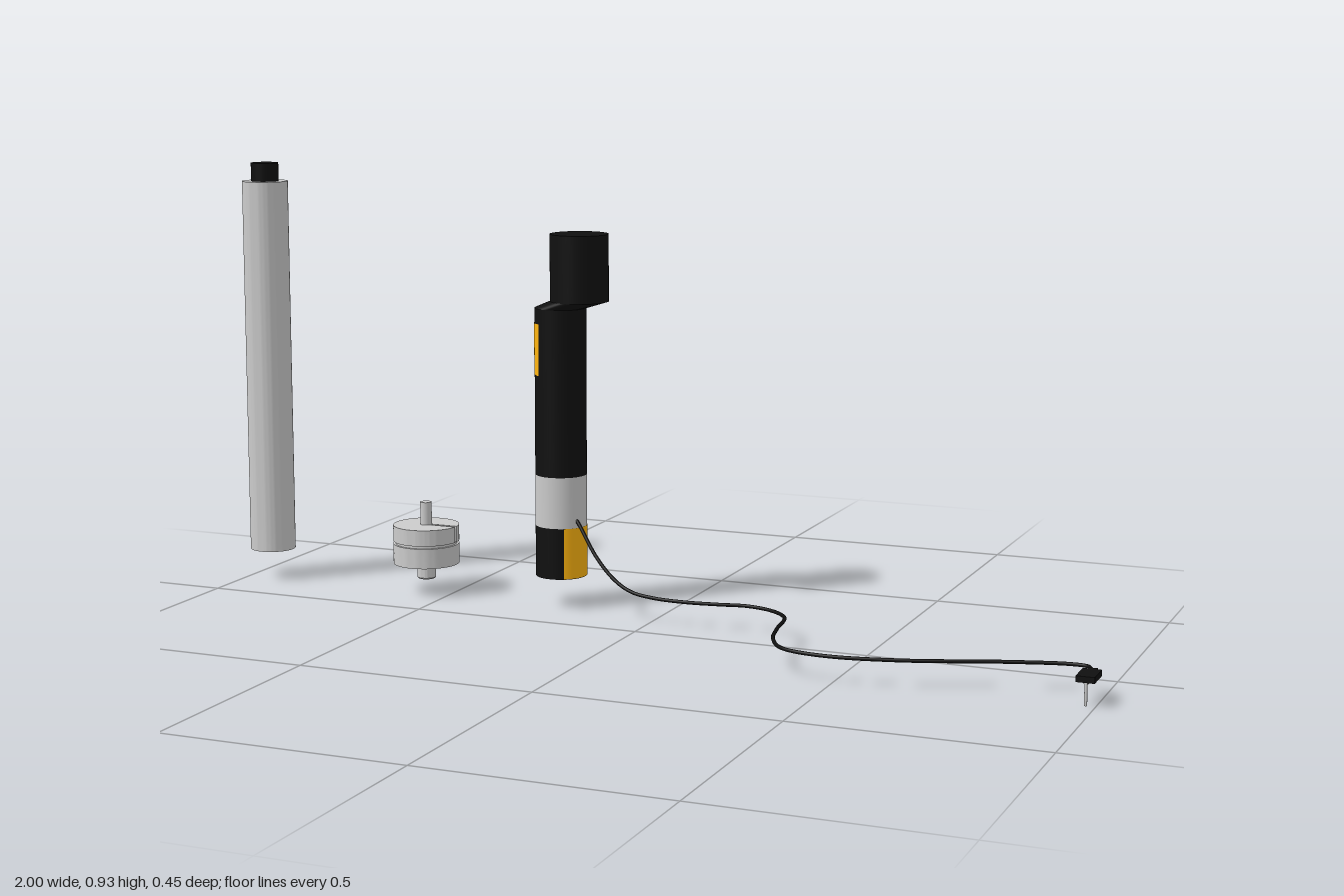
import * as THREE from 'three';
import { toCreasedNormals } from 'three/addons/utils/BufferGeometryUtils.js';

const grey = new THREE.MeshStandardMaterial({ color: 0xcccccc });
const black = new THREE.MeshStandardMaterial({ color: 0x101010 });
const yellow = new THREE.MeshStandardMaterial({ color: 0xffb510, side: THREE.DoubleSide });

function add(parent, name, geometry, material, x = 0, y = 0, z = 0) {
  const mesh = new THREE.Mesh(geometry, material);
  mesh.name = name;
  mesh.position.set(x, y, z);
  parent.add(mesh);
  return mesh;
}

function group(parent, name, x, z) {
  const g = new THREE.Group();
  g.name = name;
  g.position.set(x, 0, z);
  parent.add(g);
  return g;
}

// Upright cylinder between two heights
function rod(parent, name, r, y0, y1, material, x = 0, z = 0) {
  return add(parent, name, new THREE.CylinderGeometry(r, r, y1 - y0, 48), material, x, (y0 + y1) / 2, z);
}

// Turned part with crisp edges; profile runs upwards on the outside
function turned(points) {
  return new THREE.LatheGeometry(points.map(([r, y]) => new THREE.Vector2(r, y)), 64);
}

// Thin sticker wrapped round a cylinder, angles in degrees from +x towards +z
function wrap(parent, name, r, y0, y1, from, to) {
  const rad = Math.PI / 180;
  const g = new THREE.CylinderGeometry(r, r, y1 - y0, 40, 1, true, (90 - to) * rad, (to - from) * rad);
  add(parent, name, g, yellow, 0, (y0 + y1) / 2, 0);
}

function addPole(root) {
  const pole = group(root, 'pole', -0.95, -0.157);
  const tube = turned([
    [0, 0.13], [0.018, 0.13], [0.018, 0.065], [0.05, 0.065], [0.05, 0.2], [0.05, 0.2002],
    [0.05, 0.3348], [0.05, 0.335], [0.05, 0.89], [0, 0.89],
  ]);
  // Mill a flat into the back
  const p = tube.attributes.position;
  for (let i = 0; i < p.count; i++) {
    if (p.getY(i) > 0.2001 && p.getY(i) < 0.3349) p.setZ(i, Math.max(p.getZ(i), -0.0445));
  }
  add(pole, 'poleTube', toCreasedNormals(tube, 0.35), grey);
  rod(pole, 'poleCap', 0.03, 0.89, 0.93, black);
}

function addMount(root) {
  const mount = group(root, 'mount', -0.562, -0.157);
  add(mount, 'lowerDisc', toCreasedNormals(turned([
    [0, 0.065], [0.072, 0.065], [0.072, 0.109], [0.067, 0.109], [0.067, 0.115], [0, 0.115],
  ]), 0.5), grey);

  // Upper disc with a radial slit towards +x
  const r = 0.072, half = 0.004, a = Math.asin(half / r);
  const shape = new THREE.Shape();
  shape.absarc(0, 0, r, a, Math.PI * 2 - a, false);
  shape.lineTo(0.01, -half);
  shape.lineTo(0.01, half);
  shape.closePath();
  const disc = new THREE.ExtrudeGeometry(shape, { depth: 0.035, bevelEnabled: false, curveSegments: 64 });
  disc.rotateX(-Math.PI / 2);
  add(mount, 'upperDisc', toCreasedNormals(disc, 0.5), grey, 0, 0.115, 0);

  rod(mount, 'upperPin', 0.0125, 0.115, 0.2, grey);
  add(mount, 'lowerSocket', toCreasedNormals(turned([
    [0, 0.055], [0.01, 0.055], [0.01, 0.03], [0.018, 0.03], [0.0205, 0.033], [0.0205, 0.07],
  ]), 0.5), grey);
}

function addSensor(root) {
  const sensor = group(root, 'sensor', -0.24, -0.164);
  const headX = 0.045;
  rod(sensor, 'baseSection', 0.055, 0.065, 0.175, black);
  rod(sensor, 'metalSection', 0.055, 0.175, 0.285, grey);
  rod(sensor, 'bodySection', 0.055, 0.285, 0.642, black);

  // Shoulder lofted sideways to the offset head
  const h = 0.016;
  const shoulder = new THREE.CylinderGeometry(0.062, 0.055, h, 48);
  const p = shoulder.attributes.position;
  for (let i = 0; i < p.count; i++) if (p.getY(i) > 0) p.setX(i, p.getX(i) + headX);
  add(sensor, 'shoulder', toCreasedNormals(shoulder, 0.5), black, 0, 0.642 + h / 2, 0);
  rod(sensor, 'head', 0.062, 0.658, 0.8, black, headX, 0.002);

  wrap(sensor, 'baseLabel', 0.0557, 0.066, 0.175, -97, 60);
  wrap(sensor, 'bodyLabel', 0.0557, 0.5, 0.61, 122, 231);
}

function addCable(root) {
  const cable = group(root, 'cable', 0, 0);
  // Falling part, then a flat run given as x, z
  const fall = [[-0.2, 0.195, -0.143], [-0.19, 0.188, -0.138], [-0.136, 0.122, -0.113],
    [-0.088, 0.08, -0.098], [-0.045, 0.06, -0.088], [0.008, 0.053, -0.082]];
  const run = [[0.08, -0.078], [0.15, -0.086], [0.21, -0.096], [0.27, -0.078], [0.313, -0.035],
    [0.33, 0.056], [0.35, 0.136], [0.393, 0.2], [0.484, 0.222], [0.62, 0.2], [0.83, 0.125],
    [0.93, 0.099], [0.965, 0.103], [0.98, 0.14]].map(([x, z]) => [x, 0.052, z]);
  const path = new THREE.CatmullRomCurve3([...fall, ...run].map((v) => new THREE.Vector3(...v)));
  add(cable, 'cord', new THREE.TubeGeometry(path, 240, 0.0038, 12), black);

  // Plug with strain relief and downward contact
  add(cable, 'plugCollar', new THREE.BoxGeometry(0.018, 0.012, 0.01), black, 0.981, 0.052, 0.136);
  add(cable, 'plug', new THREE.BoxGeometry(0.036, 0.012, 0.06), black, 0.981, 0.052, 0.169);
  rod(cable, 'contactCollar', 0.005, 0.042, 0.047, grey, 0.981, 0.189);
  rod(cable, 'contactPin', 0.003, 0, 0.045, grey, 0.981, 0.189);
}

export function createModel() {
  const root = new THREE.Group();
  root.name = 'sensorKit';
  addPole(root);
  addMount(root);
  addSensor(root);
  addCable(root);
  return root;
}
